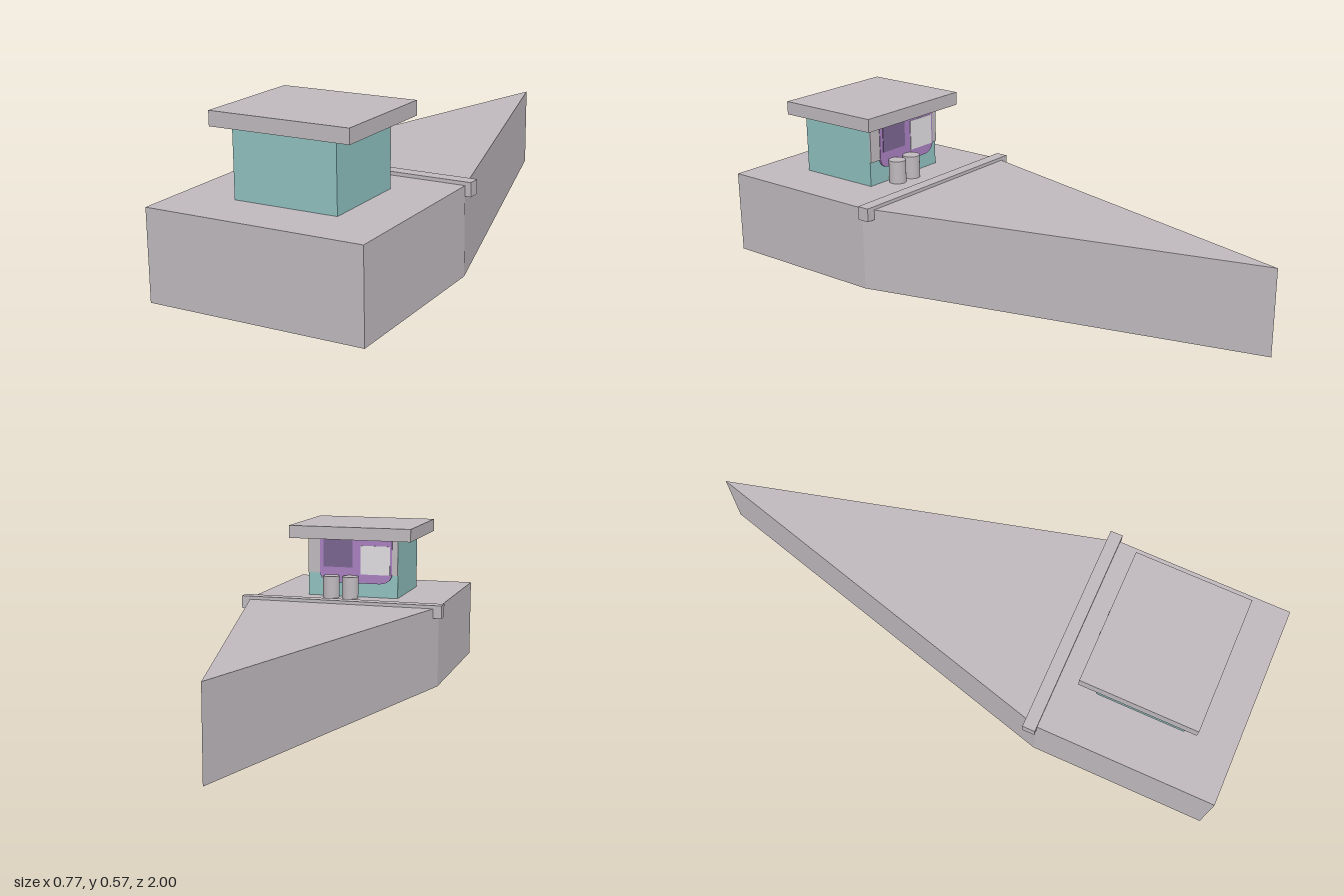
import * as THREE from 'three';

const mat = (name, color) => Object.assign(new THREE.MeshStandardMaterial({ color }), { name });

export function createModel() {
  const model = new THREE.Group();
  model.name = 'boat';
  const grey = mat('hullGrey', 0xbfb9bd);
  const teal = mat('cabinTeal', 0x8fc0bf);
  const purple = mat('framePurple', 0xa880c0);
  const darkPurple = mat('shadePurple', 0x7a658f);
  const pale = mat('paneGrey', 0xe0dde0);

  const add = (name, geometry, material) => {
    const mesh = new THREE.Mesh(geometry, material);
    mesh.name = name;
    model.add(mesh);
    return mesh;
  };
  // Box given by its limits on each axis
  const box = (name, material, x0, x1, y0, y1, z0, z1) =>
    add(name, new THREE.BoxGeometry(x1 - x0, y1 - y0, z1 - z0), material)
      .position.set((x0 + x1) / 2, (y0 + y1) / 2, (z0 + z1) / 2);

  // Straight-sided hull tapering to a point at the back
  const outline = new THREE.Shape([
    [-0.365, -1], [0.365, -1], [0.365, -0.37], [0, 1], [-0.365, -0.37],
  ].map(([x, y]) => new THREE.Vector2(x, y)));
  const hull = new THREE.ExtrudeGeometry(outline, { depth: 0.297, bevelEnabled: false });
  hull.rotateX(-Math.PI / 2);
  add('hull', hull, grey);

  // Bar across the deck
  box('crossbar', grey, -0.385, 0.385, 0.262, 0.309, 0.325, 0.37);

  // Cabin and overhanging roof
  box('cabin', teal, -0.177, 0.177, 0.297, 0.521, 0.505, 0.82);
  box('roof', grey, -0.238, 0.238, 0.521, 0.569, 0.447, 0.85);

  // Back wall of the cabin: grey above a teal sill
  box('backWall', grey, -0.177, 0.177, 0.385, 0.521, 0.5, 0.505);

  // Purple window frame with rounded lower corners
  const frame = new THREE.Shape();
  frame.moveTo(-0.155, 0.52);
  frame.lineTo(-0.155, 0.395);
  frame.quadraticCurveTo(-0.155, 0.35, -0.1, 0.35);
  frame.lineTo(0.075, 0.35);
  frame.quadraticCurveTo(0.13, 0.35, 0.13, 0.395);
  frame.lineTo(0.13, 0.52);
  frame.closePath();
  const frameGeo = new THREE.ExtrudeGeometry(frame, { depth: 0.008, bevelEnabled: false });
  add('windowFrame', frameGeo, purple).position.z = 0.498;

  // Two panes, one on each side of the post
  box('leftPane', darkPurple, 0, 0.115, 0.41, 0.519, 0.496, 0.499);
  box('rightPane', pale, -0.147, -0.032, 0.385, 0.495, 0.496, 0.499);

  // Pair of canisters behind the cabin
  for (const x of [0, 0.075]) {
    add('canister', new THREE.CylinderGeometry(0.031, 0.031, 0.083, 32), grey)
      .position.set(x, 0.3385, 0.468);
  }
  return model;
}
